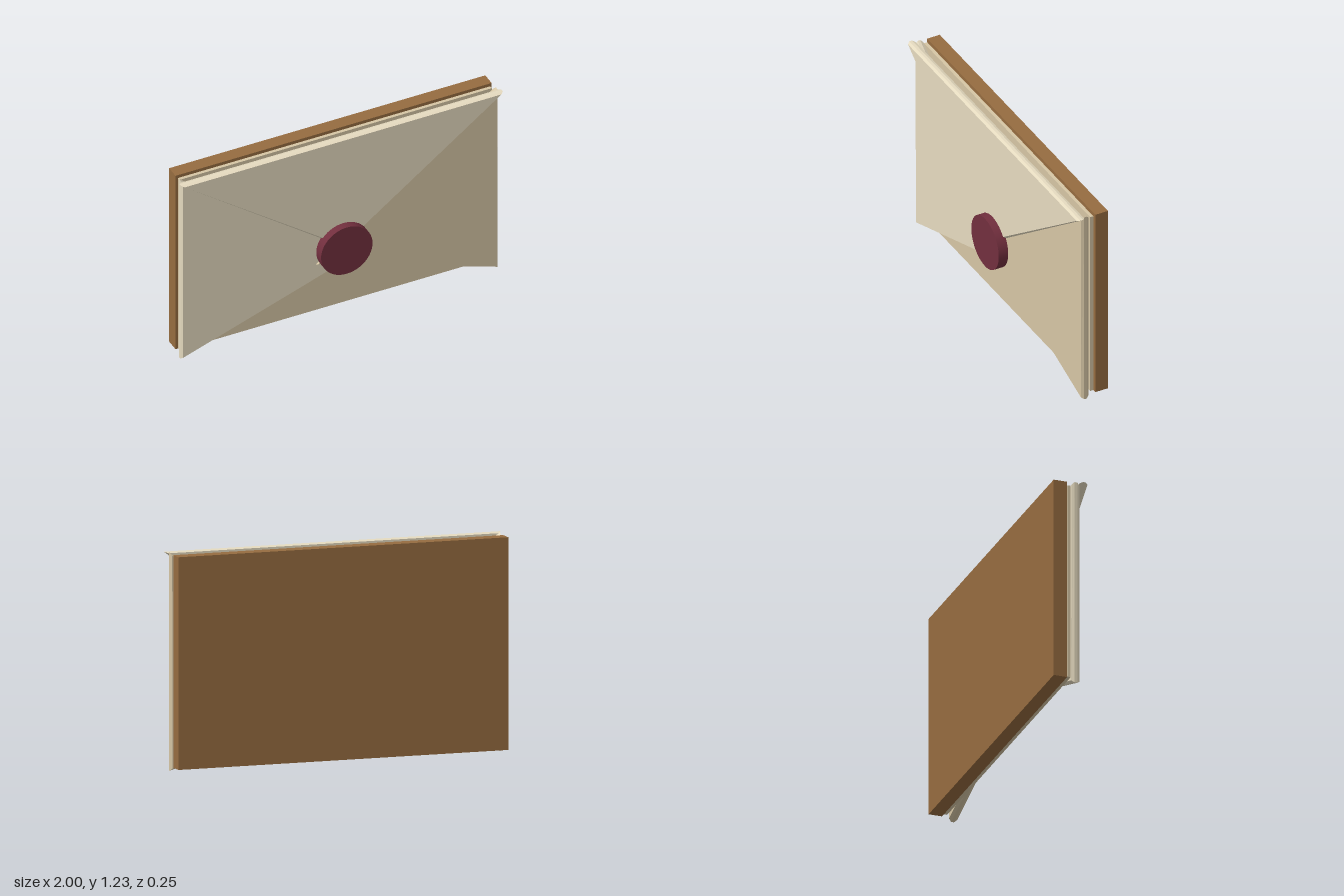
import * as THREE from 'three';

export function createModel() {
  const group = new THREE.Group();
  const mat = (color) => new THREE.MeshStandardMaterial({ color });
  const brown = mat(0x966c40), cream = mat(0xe6dbc0), tan = mat(0xd6c6a5), wine = mat(0x722f3e);

  const add = (name, geometry, material, x, y, z) => {
    const mesh = new THREE.Mesh(geometry, material);
    mesh.name = name;
    mesh.position.set(x, y, z);
    group.add(mesh);
    return mesh;
  };

  // Triangular paper flap with chamfered rim; points give its outer outline
  const bevel = 0.016, thickness = 0.049;
  const addFlap = (name, points, material, back) => {
    const shape = new THREE.Shape(points.map(([x, y]) => new THREE.Vector2(x, y)));
    const geometry = new THREE.ExtrudeGeometry(shape, {
      depth: thickness - 2 * bevel,
      bevelThickness: bevel,
      bevelSize: 0.012,
      bevelOffset: -0.012,
      bevelSegments: 1,
    });
    add(name, geometry, material, 0, 0, back + bevel);
  };

  // Backing board and the sheet in front of it
  add('backBoard', new THREE.BoxGeometry(1.964, 1.2, 0.08), brown, 0, 0.625, -0.081);
  add('backSheet', new THREE.BoxGeometry(1.94, 1.176, 0.02), tan, 0, 0.622, -0.025);

  // Side flaps overlap past the centre, the left one in front
  const sideFlap = (s) => [[s * 0.982, 1.23], [s * 0.982, 0], [s * -0.155, 0.39]];
  addFlap('rightFlap', sideFlap(-1), cream, -0.013);
  addFlap('leftFlap', sideFlap(1), tan, -0.003);

  // Top flap folded down over them
  addFlap('topFlap', [[-1, 1.23], [0, 0.487], [1, 1.23]], cream, 0.03);

  // Wax seal
  const seal = add('waxSeal', new THREE.CylinderGeometry(0.16, 0.16, 0.06, 48), wine, 0, 0.496, 0.095);
  seal.rotation.x = Math.PI / 2;

  return group;
}
